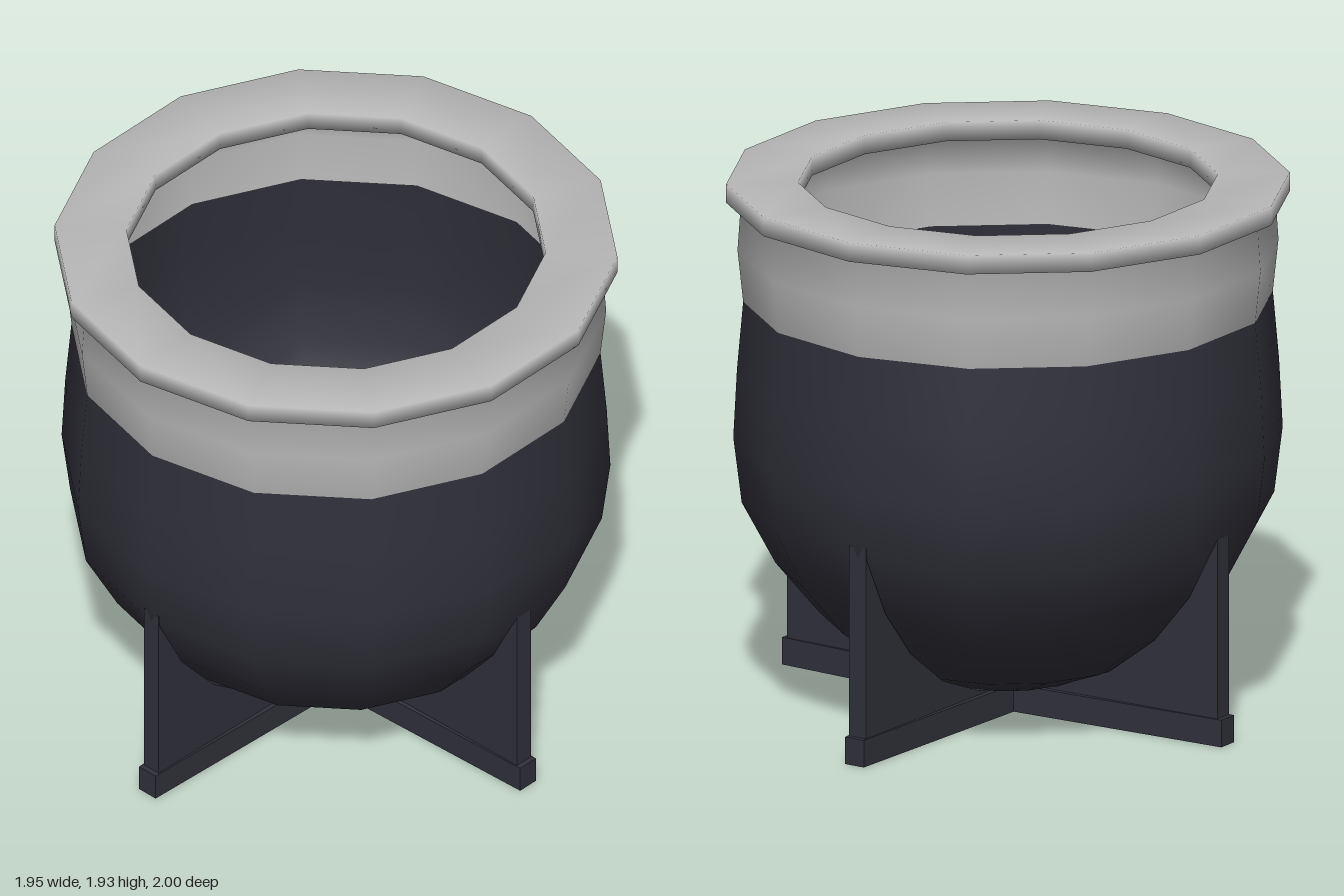
import * as THREE from 'three';

const SIDES = 14;
const APOTHEM = Math.cos(Math.PI / SIDES);
const v2 = ([x, y]) => new THREE.Vector2(x, y);

// radius, height of the bowl from bottom to top
const BOWL = [[0, 0.1], [0.24, 0.113], [0.475, 0.205], [0.67, 0.35], [0.825, 0.535],
  [0.945, 0.76], [0.975, 1.0], [0.962, 1.25], [0.94, 1.5]];

// closed outline of the collar and its overhanging lip
const COLLAR = [[0.925, 1.5], [0.94, 1.5], [0.96, 1.69], [0.948, 1.865], [1, 1.865],
  [1, 1.935], [0.745, 1.935], [0.745, 1.865], [0.925, 1.865], [0.94, 1.69], [0.925, 1.5]];

// upright plate running outwards along +x, getting thinner away from the centre
function taperedPlate(points, length, inner, outer) {
  const geo = new THREE.ExtrudeGeometry(new THREE.Shape(points.map(v2)),
    { depth: 1, bevelEnabled: false });
  geo.translate(0, 0, -0.5);
  const p = geo.attributes.position;
  for (let i = 0; i < p.count; i++) {
    const t = p.getX(i) / length;
    p.setZ(i, p.getZ(i) * (inner + (outer - inner) * t));
  }
  geo.computeVertexNormals();
  return geo;
}

export function createModel() {
  const model = new THREE.Group();
  model.name = 'pot';
  const dark = new THREE.MeshStandardMaterial({ color: 0x30303a, side: THREE.DoubleSide });
  dark.name = 'dark slate';
  const pale = new THREE.MeshStandardMaterial({ color: 0xb8b8b8, side: THREE.DoubleSide });
  pale.name = 'pale grey';

  const add = (parent, name, geo, mat) => {
    const mesh = new THREE.Mesh(geo, mat);
    mesh.name = name;
    parent.add(mesh);
    return mesh;
  };

  add(model, 'bowl', new THREE.LatheGeometry(BOWL.map(v2), SIDES), dark);
  add(model, 'collarAndRim', new THREE.LatheGeometry(COLLAR.map(v2), SIDES), pale);

  // fins whose inner edge follows the bowl, on a tapered foot
  const curve = BOWL.slice(0, 6).reverse().map(([r, y]) => [r * 1.002, y - 0.002]);
  const fin = taperedPlate([[0, 0.02], [0.945, 0.02], [0.945, 0.8], [0.942, 0.8], ...curve.slice(1)
    .reduce((a, p) => [...a, p], [[0.94, 0.755]])], 0.945, 0.11, 0.072);
  const foot = taperedPlate([[0, 0], [0.965, 0], [0.965, 0.1], [0, 0.1]], 0.965, 0.16, 0.08);

  // four legs in a cross; the sideways pair is shorter to meet the flat facets
  for (let i = 0; i < 4; i++) {
    const leg = new THREE.Group();
    leg.name = ['leftLeg', 'backLeg', 'rightLeg', 'frontLeg'][i];
    leg.rotation.y = i * Math.PI / 2;
    if (i % 2 === 0) leg.scale.x = APOTHEM;
    add(leg, 'fin', fin, dark);
    add(leg, 'foot', foot, dark);
    model.add(leg);
  }
  return model;
}
